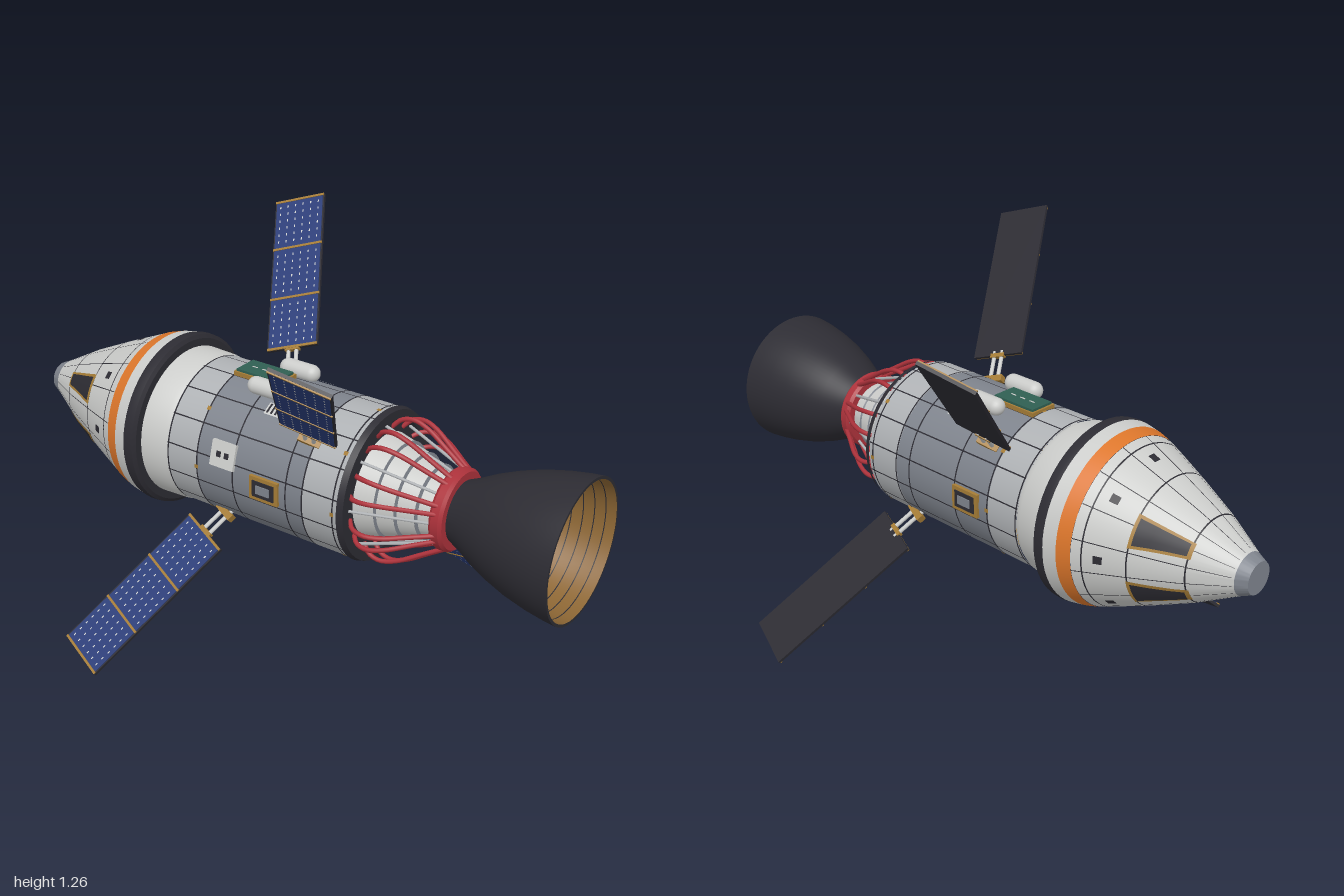
import * as THREE from 'three';
import { mergeGeometries, toCreasedNormals } from 'three/addons/utils/BufferGeometryUtils.js';

const material = (name, color, side = THREE.FrontSide) => {
  const m = new THREE.MeshStandardMaterial({ color, side });
  m.name = name;
  return m;
};
const DEG = Math.PI / 180;

export function createModel() {
  const M = {
    white: material('white', 0xcbccca),
    light: material('lightGrey', 0xafb2b5),
    grey: material('grey', 0x7f848d),
    dark: material('charcoal', 0x2d2c33),
    orange: material('orange', 0xdc762b),
    red: material('red', 0xad323b),
    blue: material('solarBlue', 0x293c78),
    gold: material('gold', 0xa57c36),
    bronze: material('bronze', 0x8c6634),
    green: material('green', 0x2f5f52),
  };
  const model = new THREE.Group();
  model.name = 'spacecraft';
  const craft = new THREE.Group(); // main axis runs along x
  craft.name = 'craft';
  craft.position.y = 0.625;
  model.add(craft);

  const add = (parent, name, geo, mat) => {
    const mesh = new THREE.Mesh(geo, mat);
    mesh.name = name;
    parent.add(mesh);
    return mesh;
  };
  // Surface of revolution around x; points are [x, radius], x ascending faces outward
  const turn = (name, mat, pts, crease = 0.5) => {
    const g = new THREE.LatheGeometry(pts.map(([x, r]) => new THREE.Vector2(r, x)), 64);
    g.rotateZ(-Math.PI / 2);
    return add(craft, name, toCreasedNormals(g, crease), mat);
  };
  const radiusAt = (profile) => (x) => {
    for (let i = 1; i < profile.length; i++) {
      const [xa, ra] = profile[i - 1], [xb, rb] = profile[i];
      if (x <= xb) return ra + (rb - ra) * (x - xa) / (xb - xa);
    }
    return profile[profile.length - 1][1];
  };
  // Thin skin over a turned surface; angles in degrees from +z towards +y
  const skin = (rFn, x0, x1, a0, a1, off = 0.002, b0 = a0, b1 = a1) => {
    const n = Math.max(1, Math.ceil(Math.abs(x1 - x0) / 0.05));
    const m = Math.max(1, Math.ceil(Math.abs(a1 - a0) / 6));
    const g = new THREE.PlaneGeometry(1, 1, n, m), p = g.attributes.position;
    for (let i = 0; i < p.count; i++) {
      const u = p.getX(i) + 0.5, v = p.getY(i) + 0.5;
      const x = x0 + (x1 - x0) * u;
      const lo = a0 + (b0 - a0) * u, hi = a1 + (b1 - a1) * u;
      const a = (lo + (hi - lo) * v) * DEG, r = rFn(x) + off;
      p.setXYZ(i, x, r * Math.sin(a), r * Math.cos(a));
    }
    g.computeVertexNormals();
    return g;
  };
  const box = (w, h, d, x = 0, y = 0, z = 0) => new THREE.BoxGeometry(w, h, d).translate(x, y, z);
  const range = (n) => [...Array(n).keys()];

  // Crew capsule
  const cone = [[-0.965, 0.066], [-0.83, 0.14], [-0.7, 0.2], [-0.6, 0.243], [-0.548, 0.265]];
  const coneR = radiusAt(cone);
  turn('noseCap', M.grey, [[-1, 0], [-1, 0.05], [-0.965, 0.066]]);
  turn('capsuleShell', M.white, cone);
  turn('orangeBand', M.orange, [[-0.548, 0.266], [-0.505, 0.279]]);
  turn('capsuleRim', M.white, [[-0.505, 0.279], [-0.462, 0.287]]);
  turn('heatShield', M.dark, [[-0.462, 0.287], [-0.45, 0.289], [-0.428, 0.287], [-0.42, 0.275], [-0.42, 0.24]]);

  // Windows and small ports around the capsule
  const frames = [], panes = [], ports = [];
  for (const c of [0, 180]) for (const s of [-1, 1]) {
    const span = (lo, hi) => (s > 0 ? [c + lo, c + hi] : [c - hi, c - lo]);
    frames.push(skin(coneR, -0.855, -0.695, ...span(22, 43), 0.003, ...span(15, 44)));
    panes.push(skin(coneR, -0.845, -0.705, ...span(25, 40), 0.005, ...span(18, 41)));
  }
  for (const i of range(8)) ports.push(skin(coneR, -0.635, -0.61, i * 45 - 3, i * 45 + 3, 0.003));
  add(craft, 'windowFrames', mergeGeometries(frames), M.gold);
  add(craft, 'windows', mergeGeometries(panes), M.dark);
  add(craft, 'capsulePorts', mergeGeometries(ports), M.dark);

  // Service module
  const bodyR = () => 0.242;
  turn('collar', M.white, [[-0.425, 0.25], [-0.335, 0.247], [-0.315, 0.238]]);
  turn('frontBand', M.light, [[-0.318, 0.242], [-0.2, 0.242]]);
  turn('midBody', M.grey, [[-0.2, 0.242], [0.2, 0.242]]);
  turn('rearBand', M.light, [[0.2, 0.242], [0.328, 0.242]]);
  turn('rearRing', M.dark, [[0.328, 0.246], [0.348, 0.24], [0.348, 0.21], [0.335, 0.2], [0.335, 0.12]]);

  // Panel seams
  const seams = [];
  for (const i of range(16)) {
    const a = i * 22.5 + 11.25;
    seams.push(skin(coneR, -0.96, -0.55, a - 0.5, a + 0.5, 0.0015, a - 0.3, a + 0.3));
    seams.push(skin(bodyR, -0.318, 0.328, a - 0.5, a + 0.5, 0.0015));
  }
  for (const x of [-0.85, -0.7, -0.58]) seams.push(skin(coneR, x, x + 0.004, 0, 360, 0.0015));
  for (const x of [-0.316, -0.2, -0.06, 0.14, 0.2, 0.31]) seams.push(skin(bodyR, x, x + 0.005, 0, 360, 0.0015));
  add(craft, 'panelSeams', mergeGeometries(seams), M.dark);
  const clips = [];
  for (const i of range(8)) for (const x of [-0.205, 0.305]) {
    clips.push(skin(bodyR, x, x + 0.014, i * 45 - 1.5, i * 45 + 1.5, 0.003));
  }
  add(craft, 'goldClips', mergeGeometries(clips), M.gold);

  // Framed hatches on the front, back and underside
  for (const [x, a] of [[0.065, 0], [-0.11, 180], [-0.055, 270]]) {
    const hatch = new THREE.Group();
    hatch.name = 'hatch';
    hatch.rotation.x = -a * DEG;
    craft.add(hatch);
    add(hatch, 'hatchFrame', box(0.105, 0.078, 0.02, x, 0, 0.24), M.gold);
    add(hatch, 'hatchPanel', box(0.08, 0.054, 0.006, x, 0, 0.25), M.dark);
    add(hatch, 'hatchCover', box(0.05, 0.028, 0.006, x, 0, 0.253), M.grey);
  }

  // Equipment box on the front
  const kit = new THREE.Group();
  kit.name = 'equipmentBox';
  kit.rotation.x = -16 * DEG;
  craft.add(kit);
  add(kit, 'equipmentCase', box(0.09, 0.082, 0.022, -0.095, 0, 0.24), M.white);
  add(kit, 'equipmentSockets', mergeGeometries([-0.11, -0.08].map((x) => box(0.016, 0.018, 0.004, x, 0, 0.251))), M.dark);

  // Top deck: green plate, twin tanks and slatted vents
  add(craft, 'deckFrame', box(0.172, 0.025, 0.096, -0.112, 0.24, 0), M.gold);
  add(craft, 'deckPlate', box(0.158, 0.02, 0.084, -0.112, 0.25, 0), M.green);
  add(craft, 'deckMarks', mergeGeometries([-0.15, -0.112, -0.074].map((x) => box(0.02, 0.002, 0.004, x, 0.2605, 0))), M.white);
  for (const s of [-1, 1]) {
    const tank = add(craft, 'tank', new THREE.CapsuleGeometry(0.028, 0.088, 8, 20), M.white);
    tank.rotation.z = Math.PI / 2;
    tank.position.set(-0.037, 0.25, s * 0.084);
    const a = 90 + s * 31;
    add(craft, 'vent', skin(bodyR, -0.01, 0.07, a - 5, a + 5, 0.003), M.white);
    add(craft, 'ventSlats', mergeGeometries(range(5).map((i) =>
      skin(bodyR, -0.003 + i * 0.015, 0.004 + i * 0.015, a - 4, a + 4, 0.005))), M.dark);
  }

  // Engine mount: stepped cone, red pipes and ring
  turn('engineCone', M.white, [[0.335, 0.168], [0.4, 0.152], [0.4, 0.146], [0.46, 0.133], [0.46, 0.127],
    [0.52, 0.114], [0.52, 0.108], [0.59, 0.096]], 0.3);
  for (const x of [0.395, 0.455, 0.515]) {
    turn('coneStep', M.grey, [[x, 0.15 - (x - 0.395) * 0.3], [x + 0.005, 0.156 - (x - 0.395) * 0.31], [x + 0.009, 0.14 - (x - 0.395) * 0.3]]);
  }
  const pipePath = [[0.335, 0.185], [0.36, 0.212], [0.4, 0.222], [0.45, 0.208], [0.53, 0.16], [0.59, 0.123]];
  const pipes = [], rods = [];
  for (const i of range(8)) {
    for (const s of [-1, 1]) {
      const pts = pipePath.map(([x, r], k) => {
        const a = (i * 45 + 22.5 + s * (10 - k * 0.8)) * DEG;
        return new THREE.Vector3(x, r * Math.sin(a), r * Math.cos(a));
      });
      pipes.push(new THREE.TubeGeometry(new THREE.CatmullRomCurve3(pts), 20, 0.0075, 8));
    }
    const a = i * 45 * DEG;
    const at = (x, r) => new THREE.Vector3(x, r * Math.sin(a), r * Math.cos(a));
    rods.push(new THREE.TubeGeometry(new THREE.LineCurve3(at(0.335, 0.2), at(0.58, 0.115)), 1, 0.005, 6));
  }
  add(craft, 'redPipes', mergeGeometries(pipes), M.red);
  add(craft, 'mountRods', mergeGeometries(rods), M.light);
  turn('redRing', M.red, [[0.568, 0.095], [0.568, 0.122], [0.578, 0.13], [0.602, 0.13], [0.612, 0.122], [0.612, 0.09]]);

  // Engine bell
  const bell = [[0.605, 0.095], [0.65, 0.115], [0.7, 0.142], [0.76, 0.168], [0.83, 0.192], [0.9, 0.209], [0.96, 0.219], [1, 0.223]];
  const inner = bell.map(([x, r]) => [x, r - 0.009]);
  turn('bellOuter', M.dark, bell, 1);
  turn('bellLip', M.dark, [[1, 0.223], [1, 0.214]]);
  turn('bellInner', M.bronze, inner.slice().reverse(), 1);
  turn('throatFloor', M.bronze, [[0.64, 0.11], [0.64, 0.06]]);
  turn('throat', M.dark, [[0.645, 0.066], [0.645, 0]]);
  const innerR = radiusAt(inner);
  for (const i of range(10)) {
    const x = 0.67 + i * 0.033;
    turn('bellRib', M.dark, [[x + 0.003, innerR(x + 0.003) - 0.0015], [x, innerR(x) - 0.0015]]);
  }

  // Solar wings: [sweep along x, up or down, front or back]
  const wings = [[-1, 1, -1], [-1, -1, 1], [1, 1, 1], [1, -1, -1]];
  for (const [sx, ry, rz] of wings) {
    const h = Math.SQRT1_2, wing = new THREE.Group();
    wing.name = 'solarWing';
    const along = new THREE.Vector3(sx * 0.408, 0.913 * h * ry, 0.913 * h * rz).normalize();
    const normal = new THREE.Vector3(0, -ry * rz * h, h);
    const across = new THREE.Vector3().crossVectors(along, normal);
    wing.quaternion.setFromRotationMatrix(new THREE.Matrix4().makeBasis(across, along, normal));
    wing.position.set(sx < 0 ? -0.14 : 0.185, 0.25 * h * ry, 0.25 * h * rz);
    craft.add(wing);
    const y0 = 0.088, len = 0.567, mid = y0 + len / 2;
    add(wing, 'wingBacking', box(0.18, len, 0.01, 0, mid, 0), M.dark);
    add(wing, 'solarCells', box(0.17, len - 0.012, 0.004, 0, mid, 0.005), M.blue);
    add(wing, 'wingBars', mergeGeometries([0.008, 0.333, 0.667, 0.992].map((t) =>
      box(0.178, 0.008, 0.006, 0, y0 + t * len, 0.006))), M.gold);
    const glints = [];
    for (const r of range(21)) for (const c of range(6)) {
      if (r % 7 === 0) continue;
      glints.push(new THREE.PlaneGeometry(0.004, 0.009).translate(-0.07 + c * 0.028, y0 + r * len / 21, 0.008));
    }
    add(wing, 'cellContacts', mergeGeometries(glints), M.white);
    add(wing, 'wingArms', mergeGeometries([-0.014, 0.014].map((x) =>
      new THREE.CylinderGeometry(0.007, 0.007, 0.13, 10).translate(x, 0.04, 0))), M.white);
    add(wing, 'wingHinge', mergeGeometries([box(0.07, 0.022, 0.024, 0, 0, 0), box(0.05, 0.014, 0.016, 0, y0, 0)]), M.gold);
  }
  return model;
}
